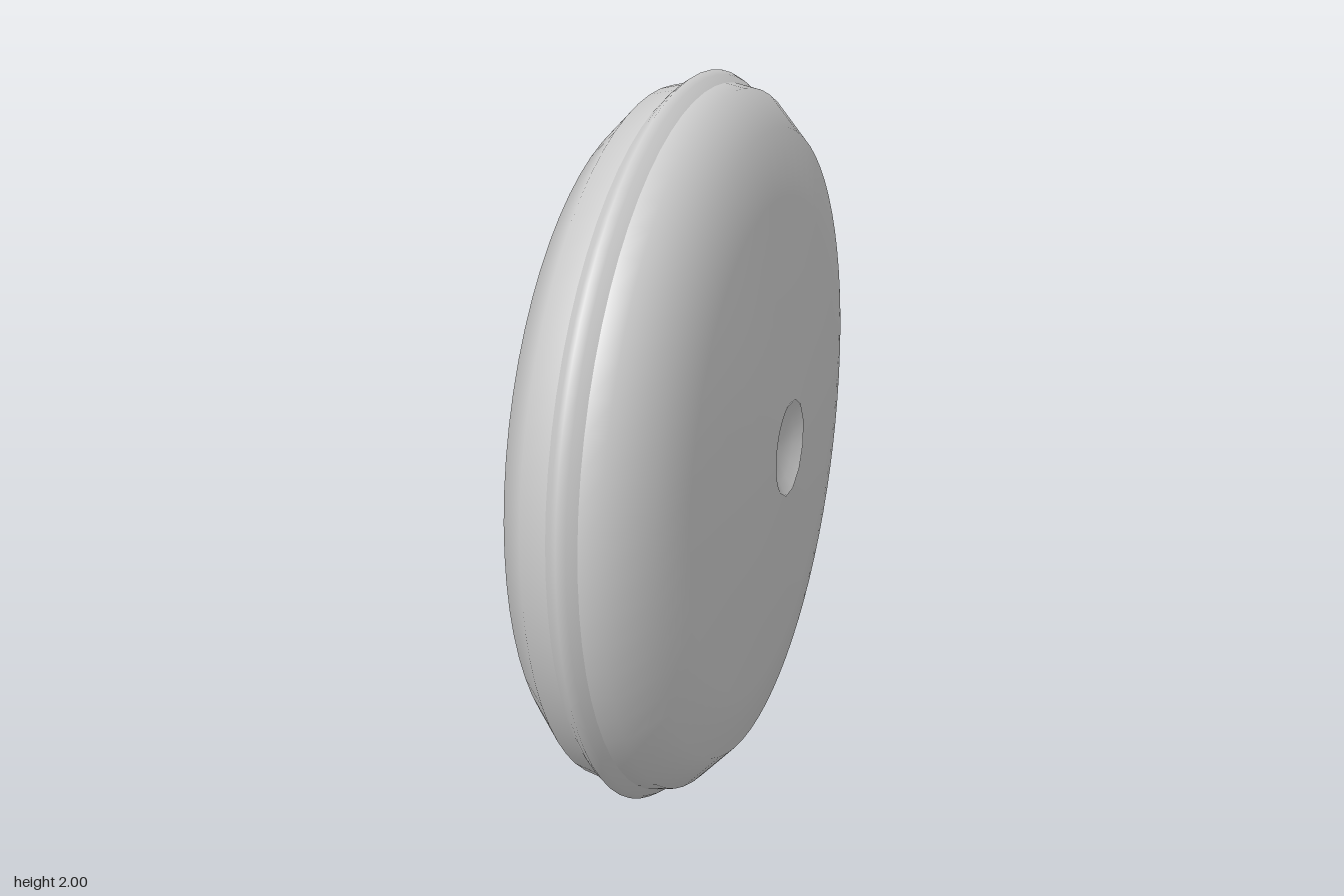
import * as THREE from 'three';

const material = new THREE.MeshStandardMaterial({ color: 0xcccccc });

// Revolves a profile of [x, radius] points (listed from -x to +x) about the x axis.
function revolve(name, profile, segments = 72, turn = 0) {
  const points = profile.map(([x, r]) => new THREE.Vector2(r, x));
  const geometry = new THREE.LatheGeometry(points, segments, turn);
  geometry.rotateZ(-Math.PI / 2);
  const mesh = new THREE.Mesh(geometry, material);
  mesh.name = name;
  return mesh;
}

export function createModel() {
  const model = new THREE.Group();
  model.name = 'disc';

  const wheel = new THREE.Group();
  wheel.name = 'wheel';
  wheel.position.y = 1;
  model.add(wheel);

  // Domed hub at the bottom of the recess
  wheel.add(revolve('hub', [
    [-0.275, 0], [-0.271, 0.09], [-0.256, 0.185], [-0.18, 0.33],
  ]));

  // Sloped wall of the recess
  wheel.add(revolve('recessWall', [[-0.18, 0.33], [-0.255, 0.5]]));

  // Left shell: conical face rounding into the tread
  wheel.add(revolve('leftShell', [
    [-0.255, 0.5], [-0.215, 0.69], [-0.175, 0.88], [-0.1, 0.955], [-0.03, 0.97],
  ]));

  // Raised bead around the middle
  wheel.add(revolve('rimBead', [
    [-0.03, 0.97], [-0.01, 0.988], [0.008, 1], [0.028, 0.988], [0.048, 0.968],
  ]));

  // Right shell: rounded shoulder and gently bulging face
  wheel.add(revolve('rightShell', [
    [0.048, 0.968], [0.1, 0.957], [0.19, 0.86], [0.215, 0.68],
    [0.237, 0.5], [0.256, 0.32], [0.268, 0.13],
  ]));

  // Shallow twelve-sided dimple in the right face
  wheel.add(revolve('dimple', [
    [0.27, 0.136], [0.25, 0.1], [0.235, 0.05], [0.23, 0],
  ], 12, Math.PI / 12));

  return model;
}
